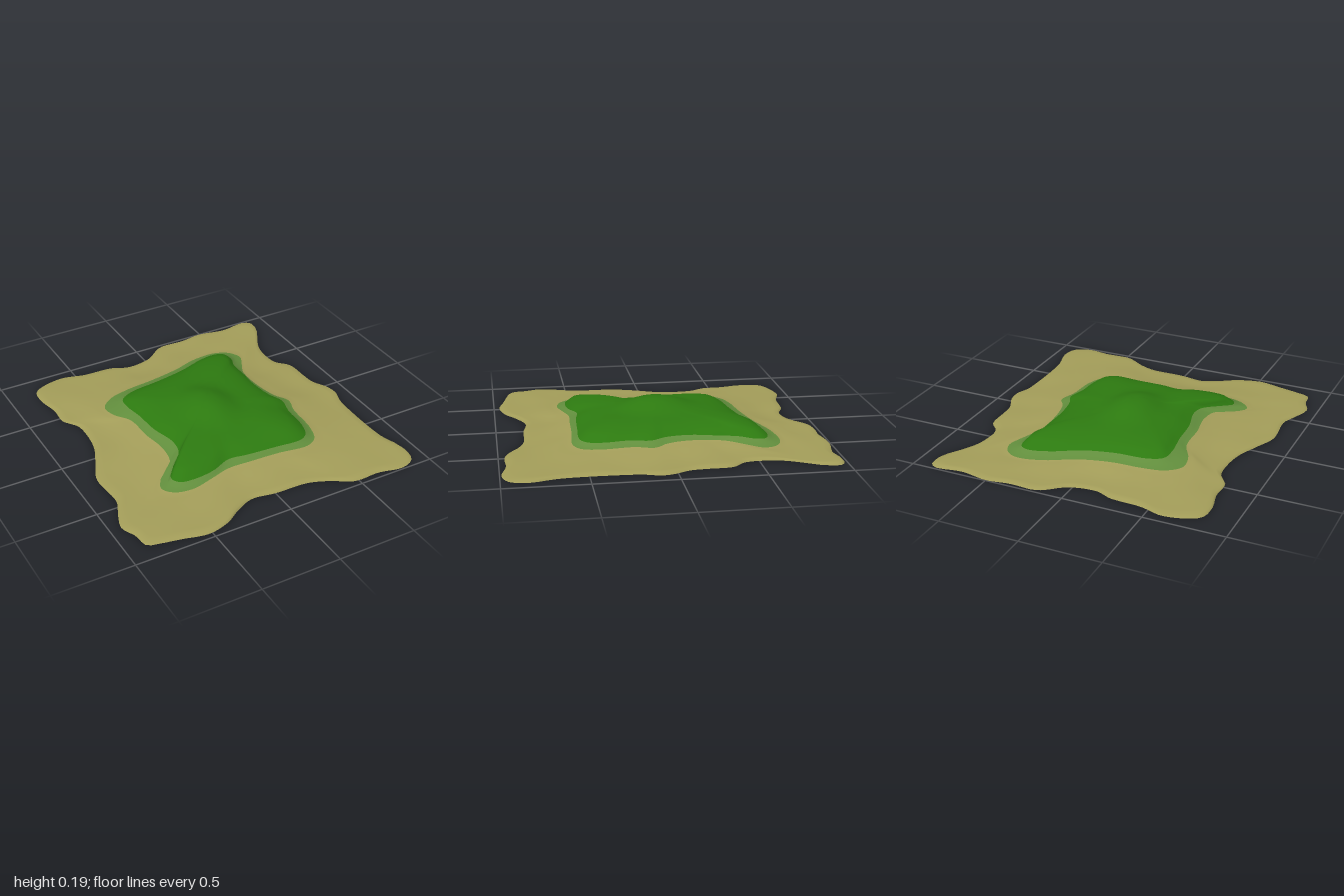
import * as THREE from 'three';

// Contours as x, z pairs, running from +x towards +z
const SHORE = [0.92, 0.1, 0.89, 0.2, 0.88, 0.35, 0.88, 0.55, 0.89, 0.68, 0.93, 0.85, 0.9, 0.95, 0.8, 0.99, 0.65, 0.96,
  0.47, 0.96, 0.35, 0.89, 0.22, 0.84, 0, 0.83, -0.15, 0.81, -0.27, 0.86, -0.38, 0.93, -0.52, 0.965, -0.68, 0.93,
  -0.8, 0.905, -0.875, 0.88, -0.89, 0.78, -0.93, 0.68, -0.89, 0.55, -0.85, 0.45, -0.86, 0.2, -0.8, 0.05, -0.74, -0.1,
  -0.72, -0.25, -0.73, -0.37, -0.79, -0.46, -0.79, -0.6, -0.82, -0.75, -0.8, -0.87, -0.6, -0.94, -0.45, -0.9,
  -0.25, -0.885, -0.15, -0.845, 0.02, -0.87, 0.17, -0.975, 0.35, -0.975, 0.5, -0.995, 0.68, -0.965, 0.85, -0.985,
  0.9, -0.95, 0.89, -0.86, 0.83, -0.75, 0.77, -0.62, 0.77, -0.42, 0.84, -0.33, 0.85, -0.18, 0.86, -0.08, 0.91, 0.03];
const FRINGE = [0.56, 0.08, 0.53, 0.2, 0.52, 0.4, 0.48, 0.51, 0.4, 0.555, 0.2, 0.545, 0, 0.54, -0.15, 0.535,
  -0.28, 0.565, -0.42, 0.59, -0.53, 0.56, -0.58, 0.49, -0.53, 0.4, -0.43, 0.32, -0.405, 0.18, -0.43, 0, -0.44, -0.2,
  -0.5, -0.32, -0.51, -0.43, -0.43, -0.51, -0.3, -0.545, -0.1, -0.565, 0.1, -0.61, 0.28, -0.68, 0.45, -0.7,
  0.54, -0.66, 0.58, -0.57, 0.53, -0.46, 0.48, -0.35, 0.475, -0.15, 0.51, 0];
const GRASS = [0.5, 0.1, 0.475, 0.22, 0.47, 0.38, 0.44, 0.47, 0.38, 0.51, 0.2, 0.51, 0, 0.5, -0.12, 0.485,
  -0.25, 0.53, -0.38, 0.54, -0.47, 0.52, -0.5, 0.46, -0.44, 0.39, -0.35, 0.28, -0.335, 0.18, -0.375, 0, -0.385, -0.18,
  -0.4, -0.33, -0.385, -0.42, -0.3, -0.47, -0.1, -0.495, 0.1, -0.54, 0.28, -0.61, 0.42, -0.63, 0.48, -0.6,
  0.49, -0.53, 0.46, -0.45, 0.45, -0.3, 0.44, -0.15, 0.46, 0];

const SEGMENTS = 240;
const { lerp, smoothstep } = THREE.MathUtils;

// Turns a contour into one radius per angle step
function radii(contour) {
  const points = [];
  for (let i = 0; i < contour.length; i += 2) points.push(new THREE.Vector3(contour[i], 0, contour[i + 1]));
  const polar = new THREE.CatmullRomCurve3(points, true).getPoints(800).slice(0, -1)
    .map((p) => ({ a: (Math.atan2(p.z, p.x) + 2 * Math.PI) % (2 * Math.PI), r: Math.hypot(p.x, p.z) }))
    .sort((p, q) => p.a - q.a);
  const first = polar[0], last = polar[polar.length - 1];
  polar.unshift({ a: last.a - 2 * Math.PI, r: last.r });
  polar.push({ a: first.a + 2 * Math.PI, r: first.r });
  return Array.from({ length: SEGMENTS }, (_, i) => {
    const a = (i / SEGMENTS) * 2 * Math.PI;
    const k = polar.findIndex((p) => p.a > a);
    const p = polar[k - 1], q = polar[k];
    return lerp(p.r, q.r, (a - p.a) / (q.a - p.a || 1));
  });
}

// Raised knoll in the middle of the hill
function knoll(x, z) {
  return 0.06 * (1 - smoothstep(Math.hypot(x / 0.23, z / 0.3), 0.15, 1));
}

// Gentle unevenness of the ground
function ripple(x, z) {
  return Math.sin(x * 11 + z * 5) * Math.cos(z * 13 - x * 4);
}

export function createModel() {
  const colour = (name, color) => new THREE.MeshStandardMaterial({ name, color, side: THREE.DoubleSide });
  const materials = [colour('grass', 0x2d7a10), colour('fringe', 0x628e3d), colour('sand', 0xa39d59)];

  const shore = radii(SHORE), fringe = radii(FRINGE), grass = radii(GRASS);

  // Rings from the summit outwards: [zone, fraction across the zone, height]
  const rings = [];
  for (const [f, y] of [[0.1, 0.134], [0.2, 0.134], [0.3, 0.133], [0.4, 0.132], [0.5, 0.13], [0.62, 0.125],
    [0.74, 0.117], [0.84, 0.105], [0.92, 0.092], [1, 0]]) rings.push([0, f, y]);
  rings.push([1, 0.5], [1, 1]);
  for (const [f, y] of [[0.12, 0.88], [0.25, 0.7], [0.4, 0.52], [0.55, 0.38], [0.7, 0.3], [0.85, 0.26], [0.96, 0.24],
    [1, 0]]) rings.push([2, f, y]);

  const positions = [0, 0.193, 0];
  for (const [zone, f, h] of rings) {
    for (let i = 0; i < SEGMENTS; i++) {
      const a = (i / SEGMENTS) * 2 * Math.PI;
      const grassY = 0.12 - 0.1 * grass[i], fringeY = 0.1 - 0.1 * fringe[i];
      const r = zone === 0 ? grass[i] * f
        : zone === 1 ? lerp(grass[i], fringe[i], f) : lerp(fringe[i], shore[i], f);
      const x = r * Math.cos(a), z = r * Math.sin(a);
      let y;
      if (zone === 0) y = f === 1 ? grassY : h + knoll(x, z) + 0.003 * ripple(x, z) * f;
      else if (zone === 1) y = lerp(grassY, fringeY, f);
      else if (f === 1) y = 0;
      else y = lerp(0.012, fringeY, (h - 0.24) / 0.76) + 0.003 * ripple(x, z) * Math.min(1, f * 3);
      positions.push(x, y, z);
    }
  }

  // Join the rings, one material group per zone
  const geometry = new THREE.BufferGeometry();
  const index = [];
  const starts = [0, 0, 0], counts = [0, 0, 0];
  rings.forEach(([zone], k) => {
    if (counts[zone] === 0) starts[zone] = index.length;
    const outer = 1 + k * SEGMENTS, inner = outer - SEGMENTS;
    for (let i = 0; i < SEGMENTS; i++) {
      const j = (i + 1) % SEGMENTS;
      if (k === 0) index.push(0, outer + j, outer + i);
      else index.push(inner + i, outer + j, outer + i, inner + i, inner + j, outer + j);
    }
    counts[zone] = index.length - starts[zone];
  });
  geometry.setAttribute('position', new THREE.Float32BufferAttribute(positions, 3));
  geometry.setIndex(index);
  starts.forEach((start, zone) => geometry.addGroup(start, counts[zone], zone));
  geometry.computeVertexNormals();

  const terrain = new THREE.Mesh(geometry, materials);
  terrain.name = 'islandTerrain';
  const model = new THREE.Group();
  model.name = 'island';
  model.add(terrain);
  return model;
}
